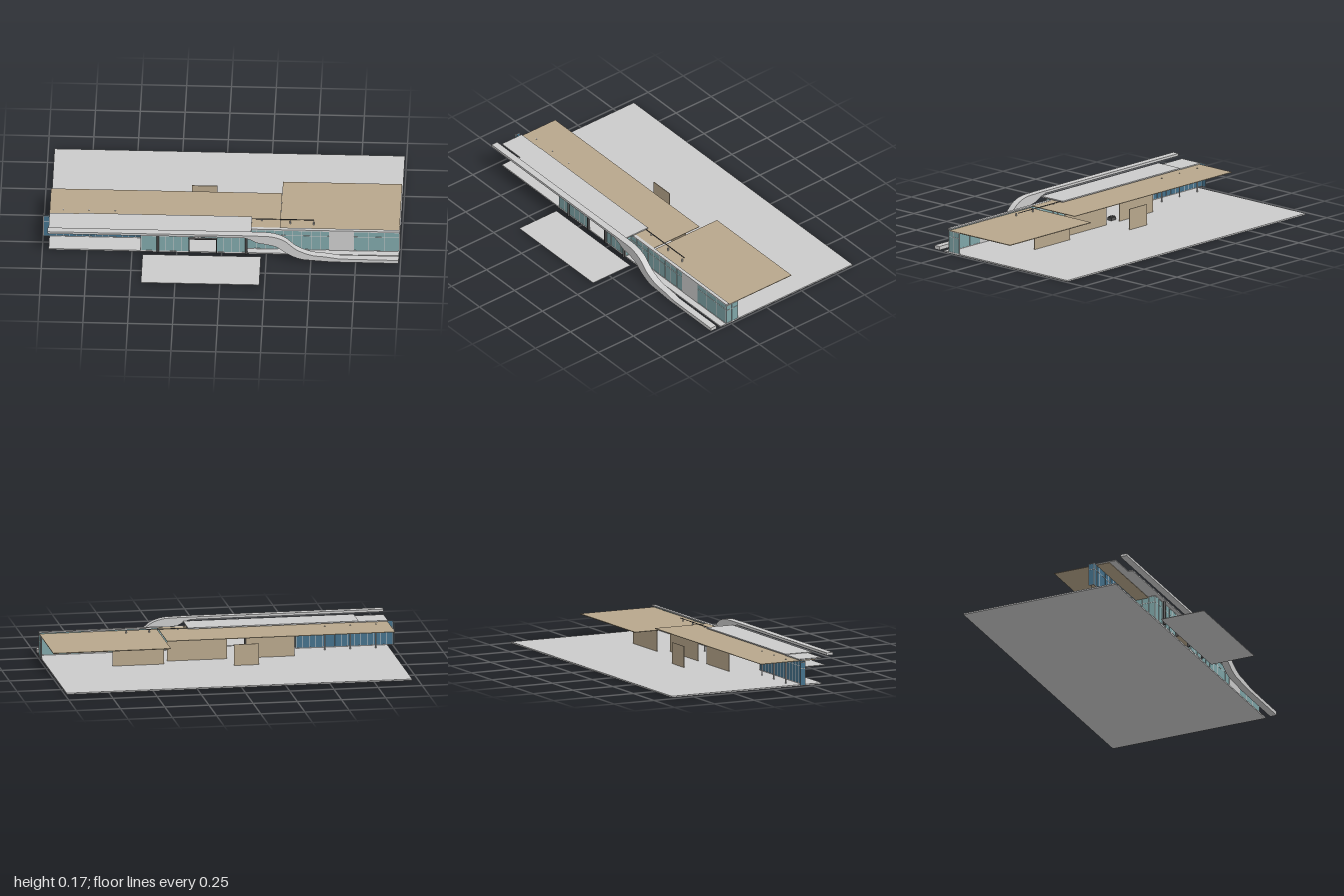
import * as THREE from 'three';

const mat = (color) => new THREE.MeshStandardMaterial({ color, side: THREE.DoubleSide });
const GREY = mat(0xcccccc), BROWN = mat(0xb8a78c), TEAL = mat(0x7fa6a8), BLUE = mat(0x43708a), DARK = mat(0x555555);

// Box given by its two extreme corners
function box(parent, name, x0, x1, y0, y1, z0, z1, material = GREY) {
  const m = new THREE.Mesh(new THREE.BoxGeometry(x1 - x0, y1 - y0, z1 - z0), material);
  m.position.set((x0 + x1) / 2, (y0 + y1) / 2, (z0 + z1) / 2);
  m.name = name;
  parent.add(m);
  return m;
}

// Glazed wall running along +x from its own origin, with mullions and rails
function glazing(parent, name, ax, az, bx, bz, y0, y1, step, material) {
  const g = new THREE.Group();
  g.name = name;
  const len = Math.hypot(bx - ax, bz - az);
  box(g, 'glassPane', 0, len, y0, y1, -0.001, 0.001, material);
  const n = Math.max(1, Math.round(len / step));
  for (let i = 0; i <= n; i++) {
    const x = (i / n) * len;
    box(g, 'mullion', x - 0.0012, x + 0.0012, y0, y1, -0.0025, 0.0025);
  }
  for (const y of [y0, y0 + (y1 - y0) * 0.72, y1 - 0.003]) box(g, 'rail', 0, len, y, y + 0.003, -0.0022, 0.0022);
  g.position.set(ax, 0, az);
  g.rotation.y = -Math.atan2(bz - az, bx - ax);
  parent.add(g);
}

function column(parent, x, z, top, r = 0.004, material = GREY) {
  const m = new THREE.Mesh(new THREE.CylinderGeometry(r, r, top - 0.008, 12), material);
  m.position.set(x, (top + 0.008) / 2, z);
  m.name = 'column';
  parent.add(m);
}

// Flat band along the facade that sweeps down to the ground in an S curve
function ribbon(parent) {
  const v = (p) => p.map(([x, y]) => new THREE.Vector2(x, y));
  const s = new THREE.Shape();
  s.moveTo(-0.97, 0.161);
  s.lineTo(-0.97, 0.175);
  s.lineTo(0.13, 0.175);
  s.splineThru(v([[0.2, 0.174], [0.28, 0.17], [0.35, 0.145], [0.42, 0.085], [0.5, 0.05], [0.58, 0.04], [0.66, 0.028]]));
  s.lineTo(0.99, 0.026);
  s.lineTo(0.99, 0.005);
  s.lineTo(0.62, 0.006);
  s.splineThru(v([[0.52, 0.013], [0.44, 0.022], [0.37, 0.055], [0.31, 0.1], [0.25, 0.117], [0.2, 0.127], [0.16, 0.148], [0.12, 0.161]]));
  const m = new THREE.Mesh(new THREE.ExtrudeGeometry(s, { depth: 0.04, bevelEnabled: false, curveSegments: 48 }), GREY);
  m.position.z = 0.35;
  m.name = 'sweepingRibbon';
  parent.add(m);
}

export function createModel() {
  const g = new THREE.Group();
  g.name = 'pavilion';

  // Ground
  box(g, 'floorSlab', -0.965, 0.99, 0, 0.008, -0.62, 0.32);
  box(g, 'entrancePlaza', -0.44, 0.22, 0, 0.003, 0.35, 0.615);

  // Roofs
  box(g, 'mainRoof', -0.965, 0.325, 0.141, 0.144, -0.06, 0.28, BROWN);
  box(g, 'sideRoof', 0.325, 0.99, 0.128, 0.132, -0.185, 0.275, BROWN);
  box(g, 'frontRoof', -0.8, 0.165, 0.148, 0.155, 0.18, 0.345);
  box(g, 'leftRoof', -0.965, -0.8, 0.146, 0.152, 0.18, 0.32);
  box(g, 'roofEdge', 0.165, 0.995, 0.138, 0.145, 0.265, 0.285);
  box(g, 'roofBeam', 0.165, 0.51, 0.15, 0.153, 0.194, 0.198, DARK);

  // Glass facades, left to right
  glazing(g, 'leftGlass', -0.998, 0.2, -0.45, 0.2, 0.008, 0.145, 0.037, BLUE);
  glazing(g, 'leftReturnGlass', -0.998, 0.17, -0.998, 0.2, 0.008, 0.14, 0.03, BLUE);
  glazing(g, 'entranceReturn', -0.45, 0.2, -0.45, 0.32, 0.008, 0.148, 0.04, TEAL);
  glazing(g, 'entranceGlassLeft', -0.45, 0.32, -0.18, 0.32, 0.008, 0.148, 0.045, TEAL);
  glazing(g, 'entranceGlassTop', -0.18, 0.32, -0.03, 0.32, 0.105, 0.148, 0.05, TEAL);
  glazing(g, 'entranceGlassRight', -0.03, 0.32, 0.14, 0.32, 0.008, 0.148, 0.043, TEAL);
  glazing(g, 'stepReturn', 0.14, 0.28, 0.14, 0.32, 0.008, 0.145, 0.04, TEAL);
  glazing(g, 'rightGlassInner', 0.14, 0.28, 0.6, 0.28, 0.008, 0.138, 0.051, TEAL);
  box(g, 'solidFacadePanel', 0.6, 0.735, 0.008, 0.138, 0.277, 0.283);
  glazing(g, 'rightGlassOuter', 0.735, 0.28, 0.99, 0.28, 0.008, 0.138, 0.085, TEAL);
  glazing(g, 'rightEndGlass', 0.99, 0.28, 0.99, 0.2, 0.008, 0.13, 0.04, TEAL);

  // Door surround
  for (const x of [-0.185, -0.032]) box(g, 'doorPost', x, x + 0.006, 0.008, 0.105, 0.318, 0.335, DARK);
  box(g, 'doorHead', -0.185, -0.026, 0.1, 0.106, 0.318, 0.335, DARK);

  // Free-standing walls behind
  box(g, 'backWallRight', 0.34, 0.63, 0.008, 0.128, -0.039, -0.035, BROWN);
  box(g, 'backWallMiddle', -0.03, 0.31, 0.008, 0.141, 0.026, 0.03, BROWN);
  box(g, 'backWallLeft', -0.41, -0.135, 0.008, 0.141, 0.026, 0.03, BROWN);
  box(g, 'gardenScreen', -0.18, -0.04, 0.008, 0.128, -0.14, -0.136, BROWN);
  box(g, 'bench', -0.15, -0.11, 0.008, 0.024, 0.065, 0.095, DARK);
  box(g, 'benchTop', -0.145, -0.115, 0.024, 0.03, 0.07, 0.09, DARK);

  // Columns
  for (const x of [-0.89, -0.745, -0.6]) column(g, x, 0.135, 0.146);
  for (const [x, z] of [[0.22, 0.2], [0.38, 0.207], [0.51, 0.212]]) column(g, x, z, 0.15);
  for (const x of [-0.355, 0.137]) column(g, x, 0.332, 0.148, 0.007, DARK);

  ribbon(g);
  return g;
}
